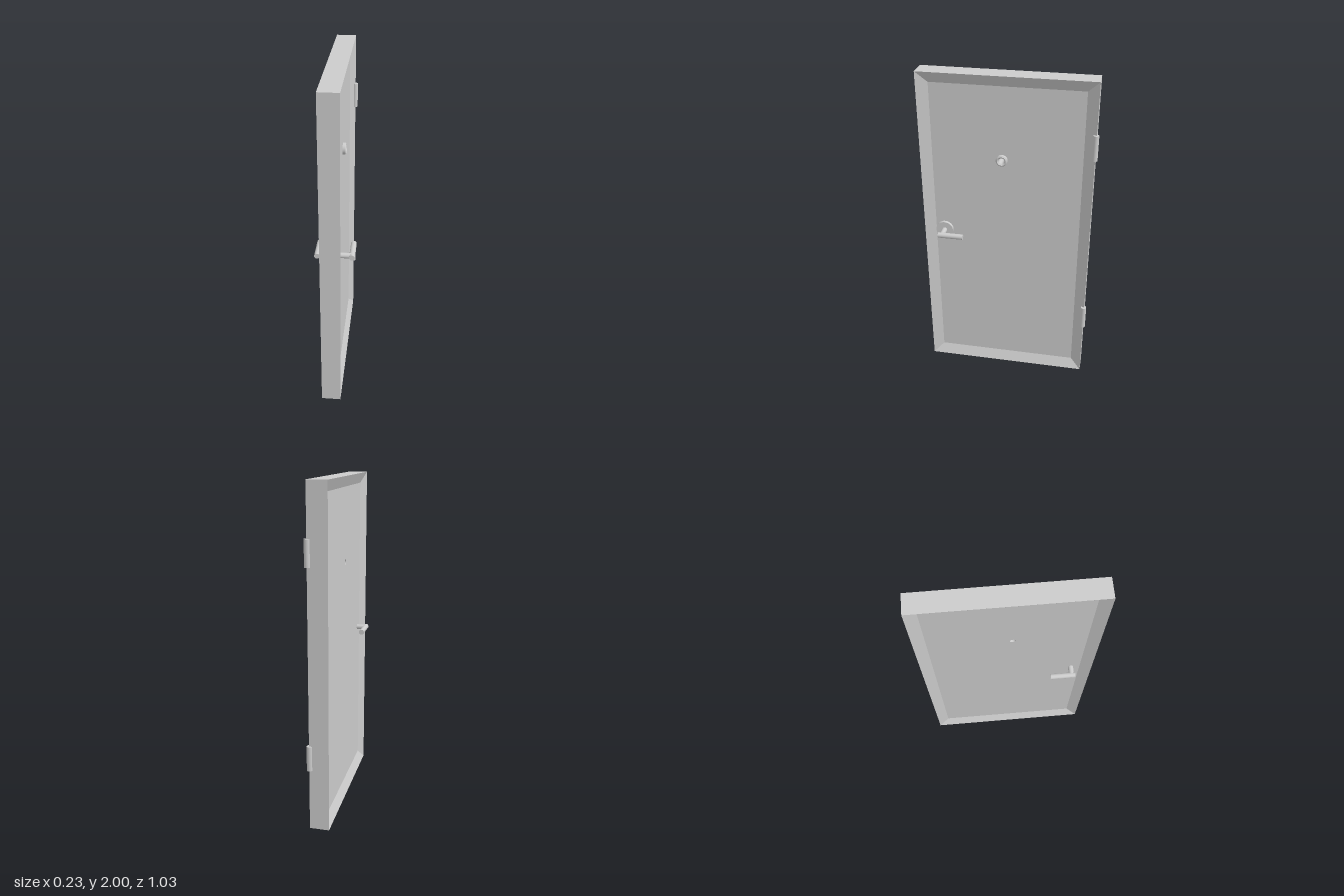
import * as THREE from 'three';

const grey = new THREE.MeshStandardMaterial({ color: 0xcccccc });

// Door slab limits
const X0 = -0.073, X1 = 0.043, Z0 = -0.5, Z1 = 0.513, H = 2;
const BEVEL = 0.065, RECESS = 0.03;
const PEEP = { y: 1.495, z: 0.033, r: 0.017 };
const HANDLE = { y: 1.0, z: 0.393 };

function add(parent, name, geometry, x = 0, y = 0, z = 0) {
  const mesh = new THREE.Mesh(geometry, grey);
  mesh.name = name;
  mesh.position.set(x, y, z);
  parent.add(mesh);
  return mesh;
}

// Rectangular loop at depth x, pulled in by an inset
function loop(x, inset) {
  const a = Z0 + inset, b = Z1 - inset, lo = inset, hi = H - inset;
  return [[x, lo, a], [x, hi, a], [x, hi, b], [x, lo, b]];
}

// Outer edges plus the sloped bevels that lead in to the sunken panel
function frameGeometry() {
  const loops = [
    loop(X0 + RECESS, BEVEL), loop(X0, 0), loop(X1, 0), loop(X1 - RECESS, BEVEL),
  ];
  const pos = [];
  for (let i = 0; i < 3; i++) {
    for (let j = 0; j < 4; j++) {
      const k = (j + 1) % 4;
      const a = loops[i][j], b = loops[i][k], c = loops[i + 1][k], d = loops[i + 1][j];
      pos.push(...a, ...b, ...c, ...a, ...c, ...d);
    }
  }
  const g = new THREE.BufferGeometry();
  g.setAttribute('position', new THREE.Float32BufferAttribute(pos, 3));
  g.computeVertexNormals();
  return g;
}

// Sunken panel with the peephole bored through it
function panelGeometry() {
  const s = new THREE.Shape();
  s.moveTo(-Z1 + BEVEL, BEVEL);
  s.lineTo(-Z0 - BEVEL, BEVEL);
  s.lineTo(-Z0 - BEVEL, H - BEVEL);
  s.lineTo(-Z1 + BEVEL, H - BEVEL);
  s.closePath();
  s.holes.push(new THREE.Path().absarc(-PEEP.z, PEEP.y, PEEP.r, 0, Math.PI * 2, true));
  return new THREE.ExtrudeGeometry(s, {
    depth: X1 - X0 - 2 * RECESS, bevelEnabled: false, curveSegments: 24,
  }).rotateY(Math.PI / 2);
}

const rod = (r, length) => new THREE.CylinderGeometry(r, r, length, 32);
const rodX = (r, length) => rod(r, length).rotateZ(-Math.PI / 2);
const rodZ = (r, length) => rod(r, length).rotateX(Math.PI / 2);

export function createModel() {
  const door = new THREE.Group();
  door.name = 'door';
  const face = X1 - RECESS;

  add(door, 'frame', frameGeometry());
  add(door, 'panel', panelGeometry(), X0 + RECESS);

  // Peephole ring with a sloped inner lip
  const profile = [[PEEP.r, 0], [0.034, 0], [0.034, 0.014], [0.026, 0.02], [PEEP.r, 0.012], [PEEP.r, 0]];
  for (let i = 0; i < profile.length - 1; i++) {
    const pts = [profile[i], profile[i + 1]].map(([r, h]) => new THREE.Vector2(r, h));
    add(door, 'peepholeRing', new THREE.LatheGeometry(pts, 32).rotateZ(-Math.PI / 2), face, PEEP.y, PEEP.z);
  }

  // Lever handles on both faces, joined by one spindle
  const handle = new THREE.Group();
  handle.name = 'handle';
  handle.position.set(0, HANDLE.y, HANDLE.z);
  door.add(handle);
  add(handle, 'rosette', rodX(0.053, 0.018), face + 0.009);
  add(handle, 'spindle', rodX(0.016, 0.198));
  for (const side of [-1, 1]) {
    add(handle, 'lever', rodZ(0.0165, 0.153), side * 0.0985, 0, 0.339 - HANDLE.z);
  }

  // Hinge barrels on the rear edge
  for (const y of [0.45, 1.625]) {
    add(door, 'hinge', rod(0.0165, 0.15), 0.041, y, Z0 + 0.003);
  }
  return door;
}
